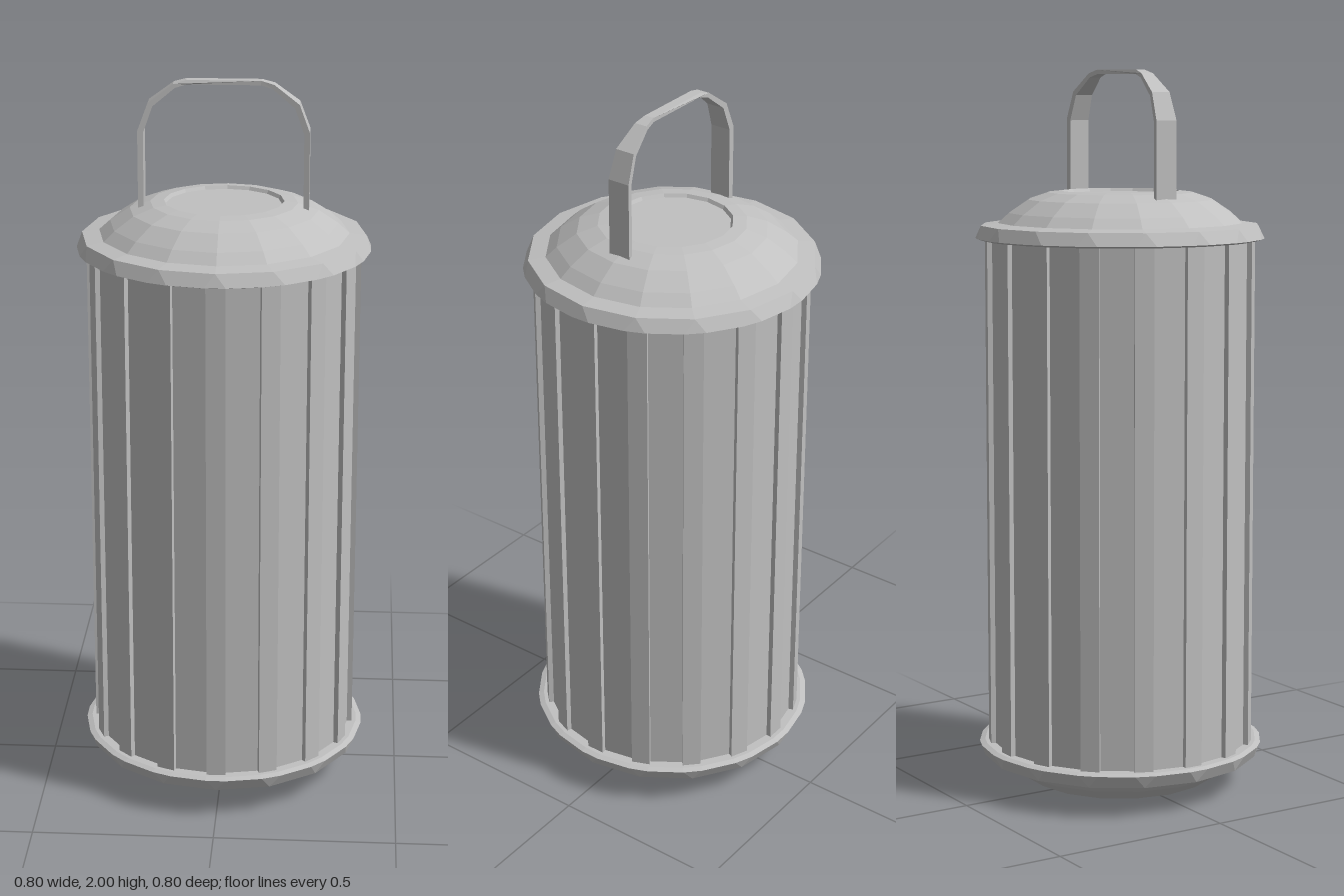
import * as THREE from 'three';

const RIBS = 16;
const STEP = (Math.PI * 2) / RIBS;
const HALF = 0.07; // half the angle covered by one rib
const CAP_SUM = 1.667; // heights of the lower cap mirror those of the upper one

const grey = new THREE.MeshStandardMaterial({ color: 0xc0c0c0, flatShading: true });
grey.name = 'brushed grey';

// Polar ring with two corners per rib; spread 0 merges each pair into one corner
function ring([r, y, spread = 0]) {
  const points = [];
  for (let i = 0; i < RIBS; i++) {
    for (const side of [-1, 1]) {
      const a = i * STEP + side * spread;
      points.push(new THREE.Vector3(r * Math.sin(a), y, r * Math.cos(a)));
    }
  }
  return points;
}

// Faceted surface through rings, listed from the top centre outward and down
function ringSurface(profile) {
  const rings = profile.map(ring);
  const positions = [];
  const addFace = (a, b, c) => {
    if (new THREE.Triangle(a, b, c).getArea() < 1e-8) return;
    for (const p of [a, b, c]) positions.push(p.x, p.y, p.z);
  };
  for (let k = 0; k < rings.length - 1; k++) {
    const up = rings[k], low = rings[k + 1];
    for (let i = 0; i < up.length; i++) {
      const j = (i + 1) % up.length;
      addFace(up[i], low[i], low[j]);
      addFace(up[i], low[j], up[j]);
    }
  }
  const geometry = new THREE.BufferGeometry();
  geometry.setAttribute('position', new THREE.Float32BufferAttribute(positions, 3));
  geometry.computeVertexNormals();
  return geometry;
}

// Ribbed barrel: narrow raised ribs between wide flat panels
function barrelGeometry() {
  const outline = [];
  for (let i = 0; i < RIBS; i++) {
    for (const [r, side] of [[0.36, -1], [0.374, -1], [0.374, 1], [0.36, 1]]) {
      const a = i * STEP + side * HALF;
      outline.push(new THREE.Vector2(r * Math.cos(a), r * Math.sin(a)));
    }
  }
  const geometry = new THREE.ExtrudeGeometry(new THREE.Shape(outline), { depth: 1.45, bevelEnabled: false });
  geometry.rotateX(-Math.PI / 2);
  geometry.translate(0, 0.11, 0);
  return geometry;
}

// Arched strap, narrowing towards the top
function handleGeometry() {
  const outer = [[0.23, 1.645], [0.23, 1.865], [0.202, 1.94], [0.135, 1.99], [0.1, 2]];
  const inner = [[0.215, 1.645], [0.215, 1.86], [0.19, 1.93], [0.13, 1.979], [0.098, 1.988]];
  const mirrored = (list) => list.map(([x, y]) => [-x, y]).reverse();
  const outline = [...outer, ...mirrored(outer), ...mirrored(inner).reverse(), ...inner.slice().reverse()];
  const shape = new THREE.Shape(outline.map(([x, y]) => new THREE.Vector2(x, y)));
  const geometry = new THREE.ExtrudeGeometry(shape, { depth: 1, bevelEnabled: false });
  geometry.translate(0, 0, -0.5);
  const pos = geometry.attributes.position;
  for (let i = 0; i < pos.count; i++) {
    const t = THREE.MathUtils.clamp((Math.abs(pos.getX(i)) - 0.1) / 0.13, 0, 1);
    pos.setZ(i, pos.getZ(i) * THREE.MathUtils.lerp(0.027, 0.064, t));
  }
  geometry.computeVertexNormals();
  return geometry;
}

export function createModel() {
  const model = new THREE.Group();
  model.name = 'lantern';
  const add = (name, geometry) => {
    const mesh = new THREE.Mesh(geometry, grey);
    mesh.name = name;
    model.add(mesh);
  };

  // Domed cap with a sunken disc and a flared rim, closed underneath
  const cap = [
    [0, 1.662], [0.157, 1.662], [0.163, 1.671], [0.2, 1.667], [0.256, 1.648], [0.31, 1.612],
    [0.34, 1.585], [0.387, 1.578], [0.4, 1.543, HALF], [0.385, 1.538, HALF], [0, 1.538],
  ];
  add('topCap', ringSurface(cap));
  add('bottomCap', ringSurface(cap.map(([r, y, s]) => [r, Math.max(0, CAP_SUM - y - 0.004), s]).reverse()));
  add('ribbedBarrel', barrelGeometry());
  add('handle', handleGeometry());
  return model;
}
